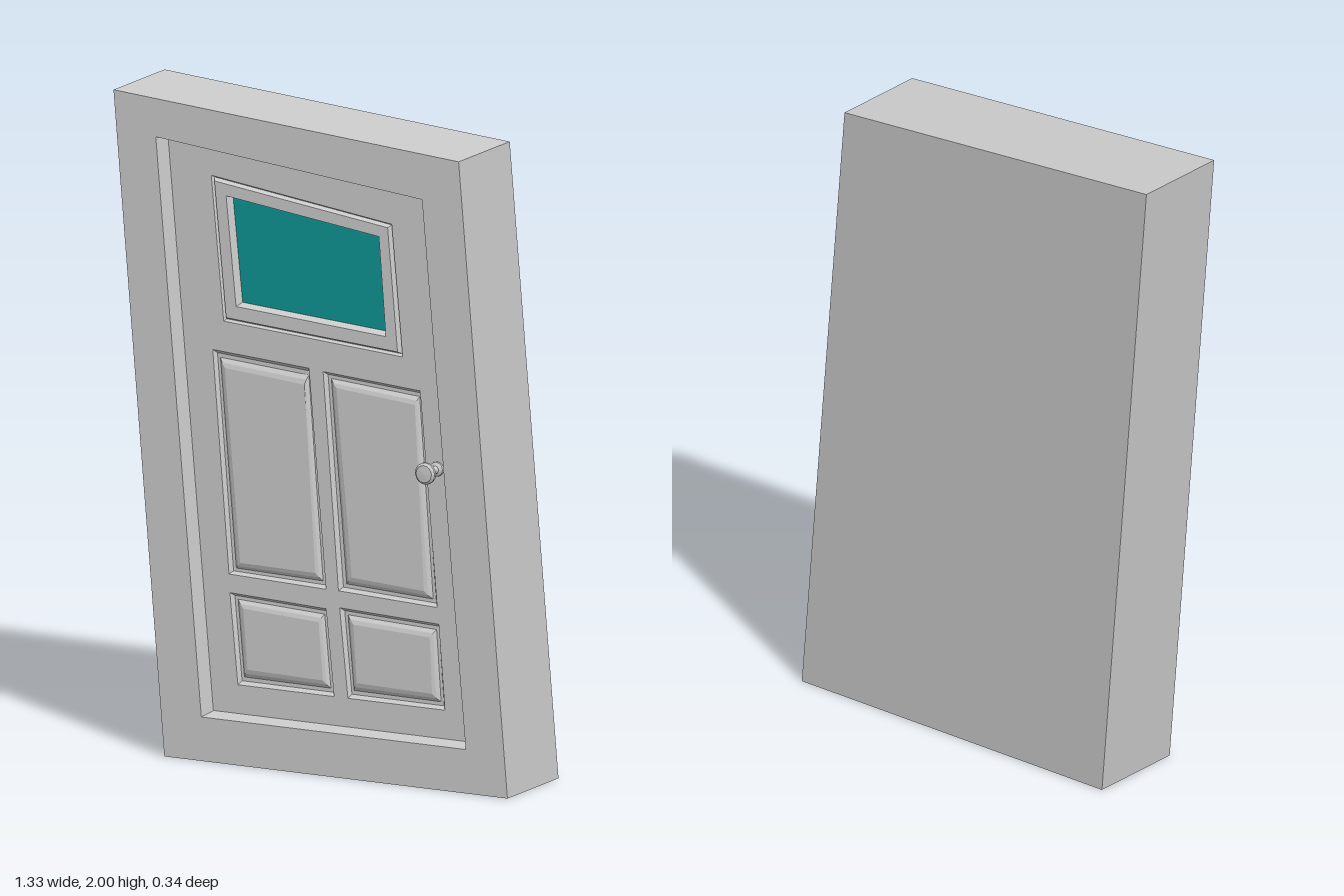
import * as THREE from 'three';

const FRONT = 0.14, BACK = -0.17, DOOR = 0.085;

const material = (color = 0xcccccc) =>
  new THREE.MeshStandardMaterial({ color, flatShading: true });

// Corners run bottom left, bottom right, top right, top left.
const lerpQuad = (a, b, t) =>
  a.map(([x, y], i) => [x + (b[i][0] - x) * t, y + (b[i][1] - y) * t]);

// Joins a row of [quad, z] loops with walls, optionally capping first and last.
function loft(loops, { startCap = false, endCap = false } = {}) {
  const pos = [];
  const face = (a, b, c, d) => pos.push(...a, ...b, ...c, ...a, ...c, ...d);
  const rings = loops.map(([quad, z]) => quad.map(([x, y]) => [x, y, z]));
  for (let r = 0; r < rings.length - 1; r++) {
    const a = rings[r], b = rings[r + 1];
    for (let k = 0; k < 4; k++) {
      const n = (k + 1) % 4;
      face(a[k], a[n], b[n], b[k]);
    }
  }
  if (startCap) face(...[...rings[0]].reverse());
  if (endCap) face(...rings[rings.length - 1]);
  const geometry = new THREE.BufferGeometry();
  geometry.setAttribute('position', new THREE.Float32BufferAttribute(pos, 3));
  geometry.computeVertexNormals();
  return geometry;
}

const toPoints = quad => quad.map(([x, y]) => new THREE.Vector2(x, y));

export function createModel() {
  const model = new THREE.Group();
  model.name = 'leaningDoor';
  const grey = material();
  const add = (name, geometry, mat = grey) => {
    const mesh = new THREE.Mesh(geometry, mat);
    mesh.name = name;
    model.add(mesh);
    return mesh;
  };

  // Slanted frame block with a recessed opening
  const outline = [[-0.495, 0], [0.665, 0], [0.5, 1.91], [-0.667, 2]];
  const opening = [[-0.37, 0.133], [0.524, 0.133], [0.376, 1.782], [-0.524, 1.873]];
  const doorEdge = [[-0.36, 0.143], [0.514, 0.143], [0.367, 1.772], [-0.513, 1.861]];
  add('frame', loft([
    [outline, BACK], [outline, FRONT], [opening, FRONT], [doorEdge, DOOR - 0.01],
  ], { startCap: true }));

  // Outer and inner outlines of the four panels
  const panels = {
    upperLeftPanel: [
      [[-0.307, 0.562], [0.021, 0.552], [-0.037, 1.215], [-0.362, 1.236]],
      [[-0.28, 0.589], [-0.005, 0.584], [-0.048, 1.178], [-0.333, 1.199]]],
    upperRightPanel: [
      [[0.063, 0.552], [0.397, 0.538], [0.339, 1.188], [0.011, 1.21]],
      [[0.095, 0.584], [0.365, 0.57], [0.326, 1.156], [0.043, 1.178]]],
    lowerLeftPanel: [
      [[-0.277, 0.23], [0.048, 0.23], [0.021, 0.493], [-0.304, 0.506]],
      [[-0.254, 0.265], [0.021, 0.262], [0.003, 0.462], [-0.272, 0.475]]],
    lowerRightPanel: [
      [[0.095, 0.23], [0.423, 0.23], [0.402, 0.488], [0.067, 0.501]],
      [[0.116, 0.265], [0.392, 0.262], [0.38, 0.457], [0.1, 0.468]]],
  };
  const casing = [[-0.325, 1.326], [0.28, 1.284], [0.243, 1.682], [-0.367, 1.763]];
  const pane = [[-0.272, 1.385], [0.217, 1.351], [0.196, 1.634], [-0.304, 1.698]];

  // Door leaf, cut out for the panels and the window
  const leaf = new THREE.Shape(toPoints(doorEdge));
  for (const hole of [casing, ...Object.values(panels).map(p => p[0])])
    leaf.holes.push(new THREE.Path(toPoints(hole)));
  const leafGeometry = new THREE.ExtrudeGeometry(leaf, { depth: 0.05, bevelEnabled: false });
  leafGeometry.translate(0, 0, DOOR - 0.05);
  add('doorLeaf', leafGeometry);

  // Panels: groove around a bevelled raised field
  for (const [name, [outer, inner]] of Object.entries(panels)) {
    const at = t => lerpQuad(outer, inner, t);
    add(name, loft([
      [outer, DOOR], [at(0.3), DOOR - 0.013], [at(0.65), DOOR - 0.013],
      [at(1), DOOR - 0.004], [at(1.4), DOOR],
    ], { endCap: true }));
  }

  // Window casing with a stepped lip, and the glass set back in it
  const step = t => lerpQuad(casing, pane, t);
  add('windowCasing', loft([
    [casing, DOOR], [step(0.1), DOOR - 0.01], [step(0.22), DOOR + 0.006],
    [step(0.85), DOOR + 0.006], [pane, DOOR - 0.02],
  ]));
  add('windowGlass', loft([[step(0.98), DOOR - 0.022], [pane, DOOR - 0.02]],
    { endCap: true }), material(0x0d9494));

  // Round knob on a stem, turned about the z axis
  const profile = [[0.022, 0], [0.022, 0.008], [0.012, 0.014], [0.012, 0.054], [0.024, 0.06],
    [0.033, 0.067], [0.033, 0.075], [0.026, 0.082], [0, 0.084]];
  const knob = add('doorKnob',
    new THREE.LatheGeometry(profile.map(p => new THREE.Vector2(...p)), 16));
  knob.rotation.x = Math.PI / 2;
  knob.position.set(0.397, 0.958, DOOR);

  return model;
}
